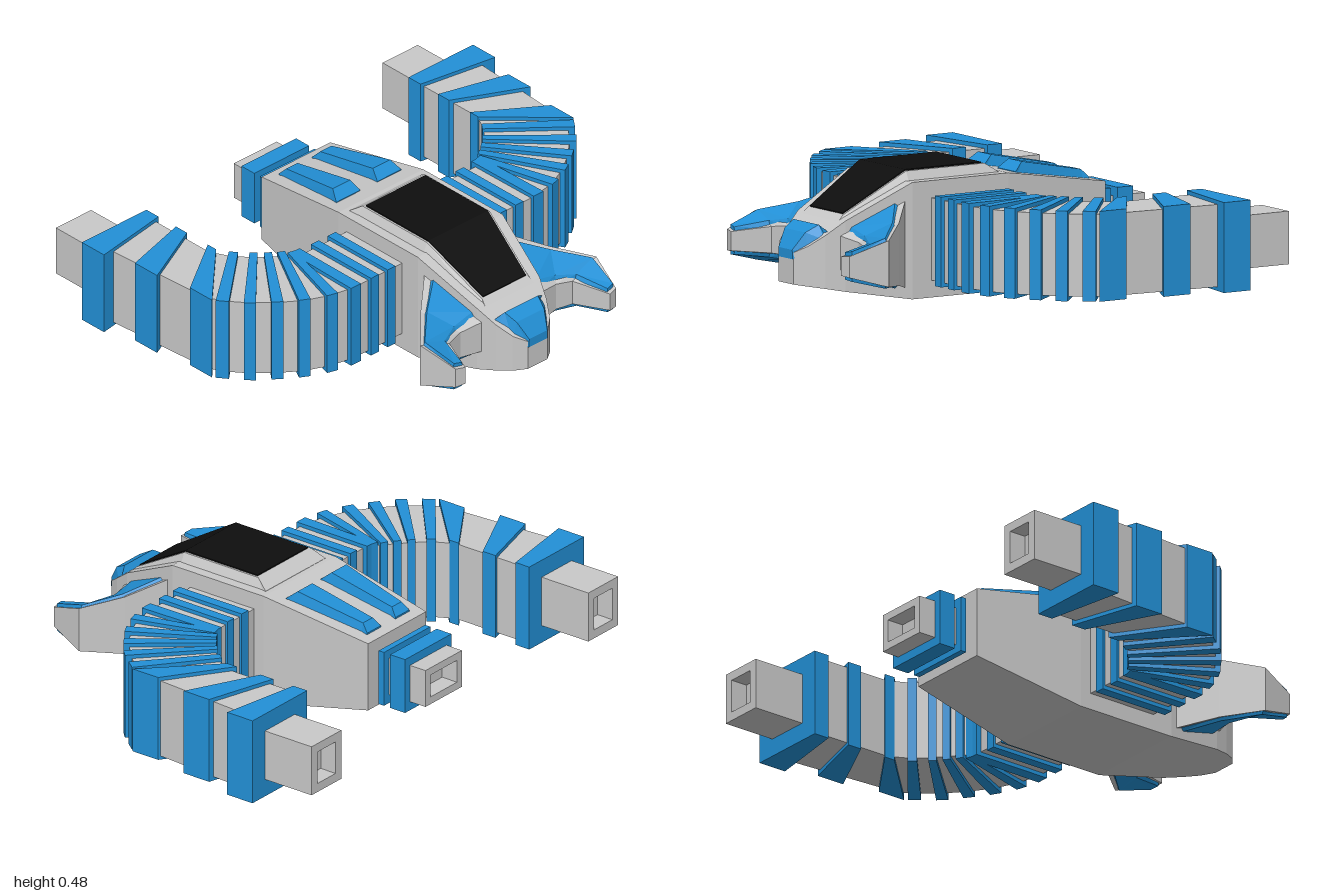
import * as THREE from 'three';

const flat = (name, color) => {
  const m = new THREE.MeshStandardMaterial({ color, flatShading: true });
  m.name = name;
  return m;
};

// Solid through a row of equal rings of [x, y, z] points, capped at both ends, always facing outward
function loft(rings) {
  const tris = [], n = rings[0].length, last = rings.length - 1;
  for (let i = 0; i < last; i++) {
    const a = rings[i], b = rings[i + 1];
    for (let j = 0; j < n; j++) {
      const k = (j + 1) % n;
      tris.push([a[j], a[k], b[k]], [a[j], b[k], b[j]]);
    }
  }
  for (let j = 1; j < n - 1; j++) {
    tris.push([rings[0][0], rings[0][j + 1], rings[0][j]]);
    tris.push([rings[last][0], rings[last][j], rings[last][j + 1]]);
  }
  const v = (p) => new THREE.Vector3(...p);
  let volume = 0;
  for (const [a, b, c] of tris) volume += v(a).dot(v(b).cross(v(c)));
  if (volume < 0) tris.forEach((t) => t.reverse());
  const g = new THREE.BufferGeometry();
  g.setAttribute('position', new THREE.Float32BufferAttribute(tris.flat(2), 3));
  g.computeVertexNormals();
  return g;
}

// Four-sided section across z, with its own bottom and top half widths
const section = (z, wb, yb, wt, yt, cx = 0) =>
  [[cx - wb, yb, z], [cx + wb, yb, z], [cx + wt, yt, z], [cx - wt, yt, z]];

const mix = (a, b, t) => a.map((v, i) => v + (b[i] - v) * t);

export function createModel() {
  const model = new THREE.Group();
  model.name = 'spacecraft';
  const grey = flat('hullGrey', 0xc8c8c8);
  const blue = flat('panelBlue', 0x2290d6);
  const black = flat('canopyBlack', 0x0e0e0e);

  const add = (parent, name, geometry, material) => {
    const mesh = new THREE.Mesh(geometry, material);
    mesh.name = name;
    parent.add(mesh);
    return mesh;
  };
  const box = (parent, name, material, w, h, d, x, y, z) =>
    add(parent, name, new THREE.BoxGeometry(w, h, d), material).position.set(x, y, z);

  // Open rectangular nozzle running back from zFront to zBack, with a recessed plate
  const nozzle = (parent, name, x, y, w, h, zFront, zBack, wall) => {
    const rect = (P, a, b) => {
      const p = new P();
      p.moveTo(-a, -b); p.lineTo(a, -b); p.lineTo(a, b); p.lineTo(-a, b); p.closePath();
      return p;
    };
    const s = rect(THREE.Shape, w / 2, h / 2);
    s.holes.push(rect(THREE.Path, w / 2 - wall, h / 2 - wall));
    const g = new THREE.ExtrudeGeometry(s, { depth: zFront - zBack, bevelEnabled: false });
    add(parent, name, g.translate(x, y, zBack), grey);
    box(parent, name + 'Back', grey, w - wall, h - wall, 0.02, x, y, zBack + 0.08);
  };

  // Hull, from the rounded nose to the stern: z, half width, bottom, top
  add(model, 'hull', loft([
    [0.81, 0.05, 0.07, 0.19], [0.775, 0.095, 0.065, 0.216], [0.72, 0.13, 0.056, 0.257],
    [0.65, 0.16, 0.043, 0.31], [0.39, 0.217, 0, 0.44], [-0.04, 0.217, 0, 0.44],
    [-0.5, 0.175, 0.09, 0.365],
  ].map(([z, w, y0, y1]) => section(z, w, y0, w, y1))), grey);

  // Raised cockpit frame and its dark glass
  add(model, 'cockpitFrame', loft([
    section(-0.02, 0.185, 0.42, 0.18, 0.441), section(0.03, 0.185, 0.42, 0.16, 0.475),
    section(0.38, 0.185, 0.42, 0.16, 0.475), section(0.635, 0.135, 0.3, 0.118, 0.325),
    section(0.66, 0.13, 0.28, 0.125, 0.302),
  ]), grey);
  add(model, 'canopyGlass', loft([
    section(0.04, 0.152, 0.472, 0.152, 0.48), section(0.38, 0.152, 0.472, 0.152, 0.48),
    section(0.63, 0.11, 0.322, 0.11, 0.332),
  ]), black);

  // Rounded blue cap on the nose
  add(model, 'noseCap', loft([
    section(0.705, 0.12, 0.24, 0.12, 0.27), section(0.72, 0.12, 0.24, 0.085, 0.292),
    section(0.77, 0.09, 0.19, 0.07, 0.265), section(0.813, 0.048, 0.165, 0.046, 0.2),
  ]), blue);

  // Stern engine
  nozzle(model, 'sternNozzle', 0, 0.22, 0.22, 0.15, -0.49, -0.72, 0.03);
  box(model, 'sternRib', blue, 0.28, 0.22, 0.025, 0, 0.22, -0.535);
  box(model, 'sternRib', blue, 0.28, 0.22, 0.07, 0, 0.22, -0.612);

  // Arm ribs: inner x, inner z, outer x, outer z, inner width, outer width, turn of the width axis
  const ribs = [
    [0.285, -0.005, 0.285, 0.32, 0.04, 0.04, 0], [0.37, -0.005, 0.37, 0.32, 0.04, 0.04, 0],
    [0.462, -0.015, 0.467, 0.32, 0.045, 0.05, 0], [0.478, -0.02, 0.57, 0.302, 0.03, 0.045, 16],
    [0.505, -0.045, 0.67, 0.258, 0.03, 0.045, 29], [0.545, -0.075, 0.755, 0.2, 0.03, 0.045, 37],
    [0.585, -0.11, 0.835, 0.135, 0.03, 0.045, 46], [0.635, -0.165, 0.9, 0.055, 0.035, 0.05, 53],
    [0.67, -0.245, 0.924, -0.035, 0.045, 0.12, 90], [0.67, -0.41, 0.955, -0.3, 0.06, 0.12, 90],
    [0.67, -0.567, 1, -0.54, 0.065, 0.12, 90],
  ];
  // Grey core of an arm as inner and outer edge pairs along its path
  const core = [
    [0.2, 0.005, 0.2, 0.305], [0.46, 0.005, 0.46, 0.305], [0.49, -0.02, 0.565, 0.285],
    [0.52, -0.045, 0.66, 0.243], [0.555, -0.075, 0.74, 0.187], [0.595, -0.11, 0.82, 0.115],
    [0.645, -0.165, 0.885, 0.035], [0.685, -0.245, 0.912, -0.03], [0.685, -0.59, 0.95, -0.59],
  ];
  // Front fin: rear outer edge and front inner edge as [x, z, centre y, half height]
  const finOuter = [[0.19, 0.4, 0.21, 0.17], [0.33, 0.525, 0.195, 0.118],
    [0.45, 0.65, 0.185, 0.088], [0.41, 0.8, 0.18, 0.04]];
  const finInner = [[0.14, 0.67, 0.19, 0.065], [0.245, 0.65, 0.185, 0.055],
    [0.315, 0.665, 0.18, 0.05], [0.37, 0.81, 0.18, 0.036]];

  for (const s of [1, -1]) {
    const side = s > 0 ? 'left' : 'right';

    // Curved arm
    const arm = new THREE.Group();
    arm.name = side + 'Arm';
    model.add(arm);
    add(arm, 'armCore', loft(core.map(([ix, iz, ox, oz]) => [
      [s * ix, 0.065, iz], [s * ox, 0.065, oz], [s * ox, 0.375, oz], [s * ix, 0.375, iz],
    ])), grey);
    for (const [ix, iz, ox, oz, wi, wo, turn] of ribs) {
      const a = THREE.MathUtils.degToRad(turn), dx = Math.cos(a) / 2, dz = -Math.sin(a) / 2;
      const plan = [[ix - dx * wi, iz - dz * wi], [ox - dx * wo, oz - dz * wo],
        [ox + dx * wo, oz + dz * wo], [ix + dx * wi, iz + dz * wi]];
      add(arm, 'armRib', loft([0.05, 0.39].map((y) => plan.map(([x, z]) => [s * x, y, z]))), blue);
    }
    nozzle(arm, 'armNozzle', s * 0.835, 0.22, 0.18, 0.2, -0.59, -0.82, 0.035);

    // Swept front fin with raised panels above and below
    const fin = new THREE.Group();
    fin.name = side + 'FrontFin';
    model.add(fin);
    const at = ([x, z, y, h], dir, lift) => [s * x, y + dir * (h + lift), z];
    add(fin, 'finBody', loft(finOuter.map((o, i) => {
      const n = finInner[i];
      return [at(o, -1, 0), at(n, -1, 0), at(n, 1, 0), at(o, 1, 0)];
    })), grey);
    const rows = finOuter.map((o, i) => [o, finInner[i]]);
    const inset = (a, b, t) => [mix(a[0], b[0], t), mix(a[1], b[1], t)];
    const panel = [inset(rows[0], rows[1], 0.12), rows[1], rows[2], inset(rows[3], rows[2], 0.1)];
    for (const dir of [1, -1]) {
      add(fin, dir > 0 ? 'upperFinPanel' : 'lowerFinPanel', loft(panel.map(([o, n]) => [
        at(mix(o, n, 0.08), dir, -0.01), at(mix(o, n, 0.92), dir, -0.01),
        at(mix(o, n, 0.84), dir, 0.013), at(mix(o, n, 0.16), dir, 0.013),
      ])), blue);
    }

    // Bevelled blue block on the rear deck
    const deck = (z, x0, x1, yb, yt, b) =>
      section(z, (x1 - x0) / 2, yb, (x1 - x0) / 2 - b, yt, s * (x0 + x1) / 2);
    add(model, side + 'DeckBlock', loft([
      deck(-0.105, 0.042, 0.168, 0.41, 0.432, 0.002), deck(-0.145, 0.042, 0.163, 0.4, 0.465, 0.016),
      deck(-0.43, 0.042, 0.132, 0.35, 0.408, 0.016), deck(-0.458, 0.042, 0.129, 0.35, 0.378, 0.002),
    ]), blue);
  }
  return model;
}
